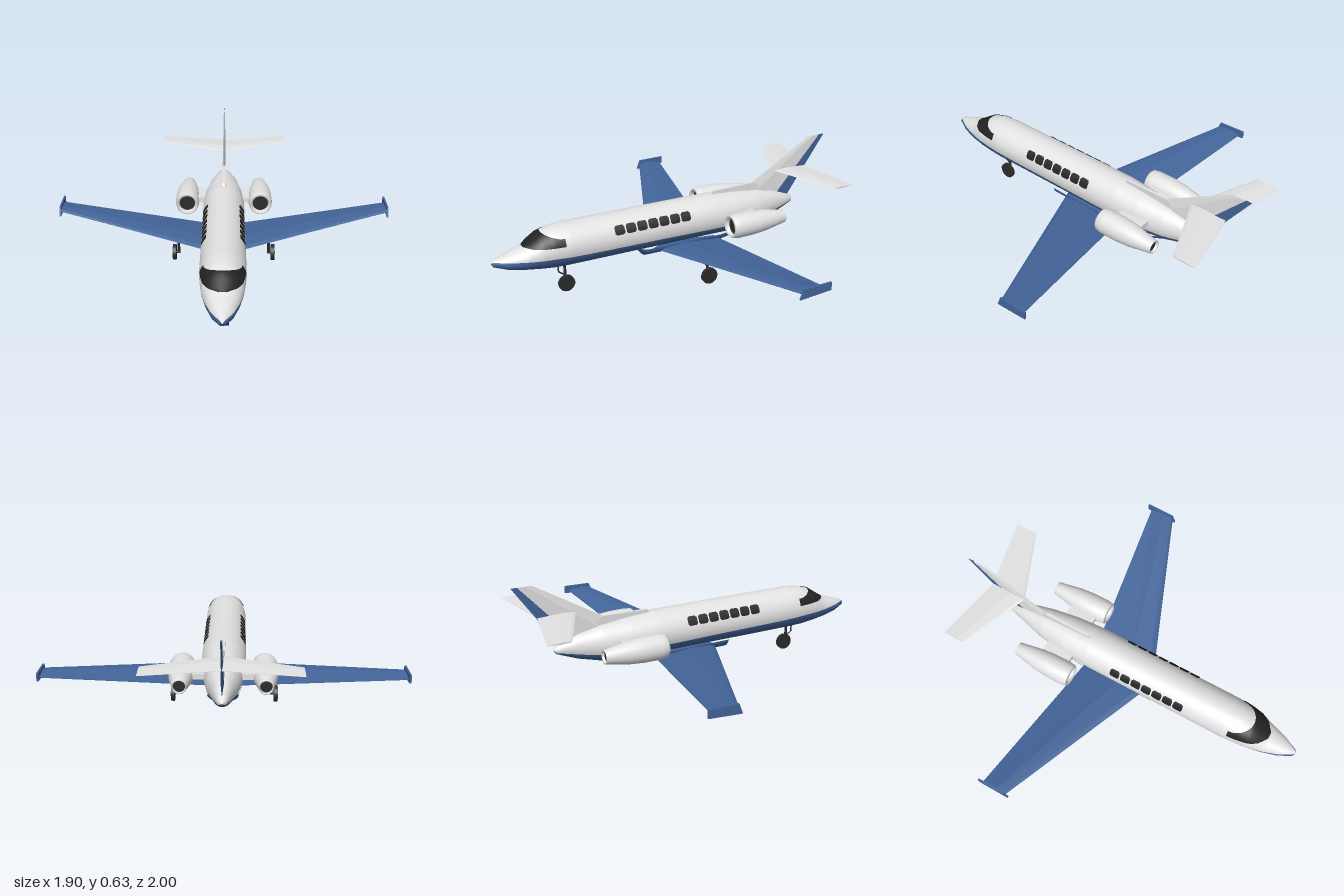
import * as THREE from 'three';

const mat = (name, color) => {
  const m = new THREE.MeshStandardMaterial({ color });
  m.name = name;
  return m;
};

// Linear lookup in rows of [z, a, b, ...] sorted by falling z
function lookup(rows, z) {
  if (z >= rows[0][0]) return rows[0].slice(1);
  for (let i = 1; i < rows.length; i++) {
    if (z >= rows[i][0]) {
      const p = rows[i - 1], q = rows[i], t = (p[0] - z) / (p[0] - q[0]);
      return p.slice(1).map((v, k) => v + (q[k + 1] - v) * t);
    }
  }
  return rows[rows.length - 1].slice(1);
}

// Body stations: z, bottom, top, half width
const HULL = [
  [1, 0.237, 0.237, 0], [0.99, 0.22, 0.254, 0.02], [0.92, 0.194, 0.277, 0.055],
  [0.83, 0.177, 0.307, 0.083], [0.75, 0.165, 0.36, 0.103], [0.68, 0.157, 0.384, 0.111],
  [0.6, 0.155, 0.39, 0.117], [-0.25, 0.155, 0.39, 0.117], [-0.4, 0.152, 0.38, 0.108],
  [-0.55, 0.165, 0.362, 0.085], [-0.68, 0.2, 0.333, 0.052], [-0.79, 0.245, 0.287, 0.022],
  [-0.805, 0.265, 0.265, 0],
];
const FAIRING = [
  [0.21, 0.165, 0.175, 0.04], [0.17, 0.118, 0.24, 0.095], [-0.28, 0.115, 0.24, 0.1],
  [-0.5, 0.15, 0.24, 0.08], [-0.58, 0.18, 0.22, 0.04],
];
// Height of the paint line between white and blue
const BELT = [[1, 0.25], [0.9, 0.247], [0.7, 0.243], [0.5, 0.235], [0.1, 0.23],
  [-0.3, 0.222], [-0.6, 0.225], [-0.8, 0.257]];

// Section angle at which the body reaches height y
function angleAt(body, z, y) {
  const [b, t] = lookup(body, z);
  return Math.asin(THREE.MathUtils.clamp((y - (b + t) / 2) / Math.max((t - b) / 2, 1e-4), -1, 1));
}

// Patch of a body surface between two angles, along falling z values
function skin(body, zs, lo, hi, segs, off = 0) {
  const pos = [], idx = [], w = segs + 1;
  zs.forEach((z, i) => {
    const [b, t, rx] = lookup(body, z), a0 = lo(z), a1 = hi(z);
    for (let j = 0; j <= segs; j++) {
      const a = a0 + (a1 - a0) * j / segs;
      pos.push((rx + off) * Math.cos(a), (b + t) / 2 + ((t - b) / 2 + off) * Math.sin(a), z);
      if (i && j) {
        const p = (i - 1) * w + j - 1;
        idx.push(p, p + w, p + w + 1, p, p + w + 1, p + 1);
      }
    }
  });
  const g = new THREE.BufferGeometry();
  g.setAttribute('position', new THREE.Float32BufferAttribute(pos, 3));
  g.setIndex(idx);
  g.computeVertexNormals();
  return g;
}

// Flat-shaded closed solid through rings of [x, y, z] points
function loft(rings) {
  const n = rings[0].length, tris = [];
  const tri = (a, b, c) => tris.push([a, b, c].map((p) => new THREE.Vector3(...p)));
  for (let r = 1; r < rings.length; r++) {
    const A = rings[r - 1], B = rings[r];
    for (let i = 0; i < n; i++) {
      const k = (i + 1) % n;
      tri(A[i], A[k], B[k]);
      tri(A[i], B[k], B[i]);
    }
  }
  const E = rings[rings.length - 1];
  for (let i = 1; i < n - 1; i++) {
    tri(rings[0][0], rings[0][i + 1], rings[0][i]);
    tri(E[0], E[i], E[i + 1]);
  }
  // Turn the faces outward whichever way the rings run
  const volume = tris.reduce((s, [a, b, c]) => s + a.dot(b.clone().cross(c)), 0);
  const pts = tris.flatMap(([a, b, c]) => (volume < 0 ? [a, c, b] : [a, b, c]));
  const g = new THREE.BufferGeometry().setFromPoints(pts);
  g.computeVertexNormals();
  return g;
}

// Airfoil ring at span x: centre height y, leading and trailing z, half thickness h
const foil = (x, y, le, te, h) => [[0, 0], [0.08, 0.6], [0.4, 1], [1, 0.1], [1, -0.1], [0.4, -1], [0.08, -0.6]]
  .map(([c, t]) => [x, y + t * h, le + (te - le) * c]);

export function createModel() {
  const model = new THREE.Group();
  const white = mat('white paint', 0xe2e2e2);
  const blue = mat('blue paint', 0x43659a);
  const glass = mat('dark glass', 0x222222);
  const dark = mat('dark gear', 0x2b2b2b);
  glass.side = THREE.DoubleSide;

  const add = (name, geometry, material, parent = model) => {
    const m = new THREE.Mesh(geometry, material);
    m.name = name;
    parent.add(m);
    return m;
  };
  const rod = (name, a, b, r, parent) => {
    const p = new THREE.Vector3(...a), q = new THREE.Vector3(...b), d = q.clone().sub(p);
    const m = add(name, new THREE.CylinderGeometry(r, r, d.length(), 10), dark, parent);
    m.position.copy(p).lerp(q, 0.5);
    m.quaternion.setFromUnitVectors(new THREE.Vector3(0, 1, 0), d.normalize());
  };
  const wheel = (name, x, z, parent) => {
    const m = add(name, new THREE.CylinderGeometry(0.045, 0.045, 0.02, 24), dark, parent);
    m.rotation.z = Math.PI / 2;
    m.position.set(x, 0.045, z);
  };

  // Fuselage in two colours
  const zs = HULL.map((s) => s[0]);
  for (let i = 1; i < 36; i++) zs.push(1.001 - i * 0.05);
  zs.sort((a, b) => b - a);
  const belt = (z) => angleAt(HULL, z, lookup(BELT, z)[0]);
  add('upperFuselage', skin(HULL, zs, belt, (z) => Math.PI - belt(z), 32), white);
  add('lowerFuselage', skin(HULL, zs, (z) => Math.PI - belt(z), (z) => 2 * Math.PI + belt(z), 32), blue);
  add('bellyFairing', skin(FAIRING, FAIRING.map((s) => s[0]), () => Math.PI, () => 2 * Math.PI, 24), blue);
  add('noseGearBay', skin(HULL, [0.68, 0.6, 0.48], () => -1.85, () => -1.29, 6, 0.003), dark);

  // Windshield and cabin windows, both halves
  const screenZ = [0.835, 0.83, 0.8, 0.775, 0.75, 0.735, 0.732, 0.725, 0.71, 0.695, 0.68, 0.655, 0.63];
  const screenLow = (z) => angleAt(HULL, z, 0.304);
  const screenHigh = (z) => {
    if (z >= 0.735) return Math.PI / 2;
    const inner = 0.092 * Math.sqrt(1 - ((z - 0.63) / 0.105) ** 2);
    return Math.acos(inner / lookup(HULL, z)[2]);
  };
  const glassPatch = (name, z, lo, hi) => {
    add(name, skin(HULL, z, lo, hi, 16, 0.003), glass);
    add(name, skin(HULL, z, (v) => Math.PI - hi(v), (v) => Math.PI - lo(v), 16, 0.003), glass);
  };
  glassPatch('windshield', screenZ, screenLow, screenHigh);
  for (let i = 0; i < 7; i++) {
    const c = 0.331 - i * 0.0645;
    const half = (z) => (Math.abs(z - c) > 0.02 ? 0.014 : 0.022);
    glassPatch('cabinWindow', [c + 0.028, c + 0.019, c - 0.019, c - 0.028],
      (z) => angleAt(HULL, z, 0.331 - half(z)), (z) => angleAt(HULL, z, 0.331 + half(z)));
  }

  // Fin, rudder and dorsal fillet: y, leading z, hinge z, trailing z, half thickness
  const finRows = [[0.29, -0.33, -0.665, -0.77, 0.011], [0.63, -0.893, -0.967, -1, 0.004]];
  add('fin', loft(finRows.map(([y, le, hi, , h]) => {
    const mid = le + (hi - le) * 0.4;
    return [[0, y, le], [h, y, mid], [h * 0.8, y, hi], [-h * 0.8, y, hi], [-h, y, mid]];
  })), white);
  add('rudder', loft(finRows.map(([y, , hi, te, h]) =>
    [[h * 0.8, y, hi], [0.001, y, te], [-0.001, y, te], [-h * 0.8, y, hi]])), blue);
  add('dorsalFillet', loft([0.008, -0.008].map((x) =>
    [[x, 0.37, -0.25], [x, 0.404, -0.275], [x, 0.41, -0.54], [x, 0.34, -0.62]])), white);

  // Paired parts
  for (const s of [1, -1]) {
    const side = new THREE.Group();
    side.name = s > 0 ? 'leftSide' : 'rightSide';
    model.add(side);

    add('wing', loft([foil(s * 0.04, 0.148, 0.11, -0.262, 0.022), foil(s * 0.945, 0.235, -0.25, -0.39, 0.012)]), blue, side);
    add('winglet', loft([0.941, 0.951].map((x) =>
      [[s * x, 0.208, -0.235], [s * x, 0.262, -0.255], [s * x, 0.265, -0.412], [s * x, 0.222, -0.412]])), blue, side);
    add('tailplane', loft([foil(0, 0.455, -0.673, -0.875, 0.009), foil(s * 0.375, 0.457, -0.825, -0.95, 0.005)]), white, side);

    // Engine
    const engine = new THREE.Group();
    engine.name = 'engine';
    engine.position.set(s * 0.212, 0.272, 0);
    side.add(engine);
    const profile = [[0.026, -0.58], [0.032, -0.608], [0.036, -0.61], [0.06, -0.48], [0.067, -0.4],
      [0.068, -0.31], [0.063, -0.276], [0.056, -0.268], [0.046, -0.28], [0.042, -0.31]];
    const shell = new THREE.LatheGeometry(profile.map((p) => new THREE.Vector2(...p)), 32);
    add('nacelle', shell.rotateX(Math.PI / 2), white, engine);
    add('fan', new THREE.CircleGeometry(0.044, 32), dark, engine).position.z = -0.292;
    const exhaust = add('exhaust', new THREE.CircleGeometry(0.031, 32), dark, engine);
    exhaust.position.z = -0.596;
    exhaust.rotation.y = Math.PI;
    const pylon = add('pylon', new THREE.BoxGeometry(0.09, 0.03, 0.16), white, side);
    pylon.position.set(s * 0.125, 0.278, -0.4);

    // Main landing gear
    const gear = new THREE.Group();
    gear.name = 'mainGear';
    side.add(gear);
    wheel('mainWheel', s * 0.28, -0.11, gear);
    rod('mainStrut', [s * 0.256, 0.16, -0.11], [s * 0.256, 0.04, -0.11], 0.008, gear);
    rod('mainAxle', [s * 0.25, 0.045, -0.11], [s * 0.293, 0.045, -0.11], 0.008, gear);
    rod('dragBrace', [s * 0.256, 0.155, -0.06], [s * 0.256, 0.09, -0.11], 0.004, gear);
    rod('sideBrace', [s * 0.2, 0.15, -0.11], [s * 0.256, 0.1, -0.11], 0.004, gear);
    const bay = add('gearBay', new THREE.BoxGeometry(0.13, 0.008, 0.09), dark, gear);
    bay.position.set(s * 0.25, 0.148, -0.105);
    bay.rotation.z = s * 0.105;
  }

  // Nose landing gear
  const nose = new THREE.Group();
  nose.name = 'noseGear';
  model.add(nose);
  wheel('noseWheel', 0.02, 0.61, nose);
  rod('noseStrut', [0, 0.17, 0.61], [0, 0.04, 0.61], 0.008, nose);
  rod('noseAxle', [-0.006, 0.045, 0.61], [0.033, 0.045, 0.61], 0.008, nose);
  rod('noseBraceUpper', [0, 0.165, 0.648], [0, 0.11, 0.645], 0.004, nose);
  rod('noseBraceLower', [0, 0.11, 0.645], [0, 0.085, 0.61], 0.004, nose);
  return model;
}
